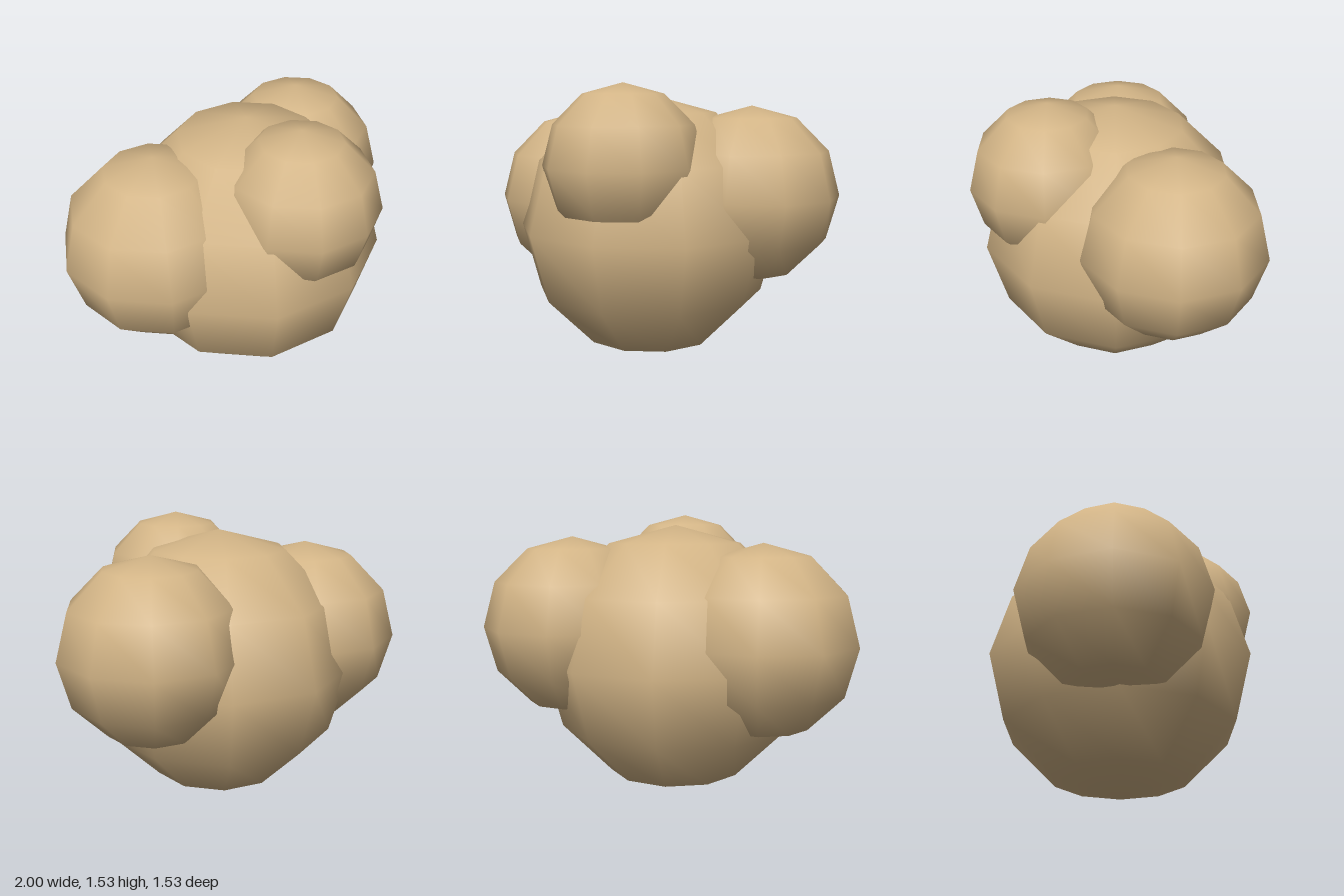
import * as THREE from 'three';

export function createModel() {
  const group = new THREE.Group();
  const tan = new THREE.MeshStandardMaterial({ color: 0xd2b486 });
  tan.name = 'tan';

  // Low-poly smooth ball with a column of vertices facing +z
  function addBall(name, radius, x, y, z) {
    const geometry = new THREE.SphereGeometry(radius, 10, 6);
    geometry.rotateY(Math.PI / 2);
    const mesh = new THREE.Mesh(geometry, tan);
    mesh.name = name;
    mesh.position.set(x, y, z);
    group.add(mesh);
  }

  // Large central body
  addBall('body', 0.735, -0.02, 0.735, -0.03);
  // Side lobes, slightly uneven in size and place
  addBall('leftLobe', 0.488, 0.533, 0.921, -0.152);
  addBall('rightLobe', 0.518, -0.508, 0.859, -0.217);
  // Small upper front lobe
  addBall('frontLobe', 0.428, -0.02, 1.102, 0.334);

  return group;
}
